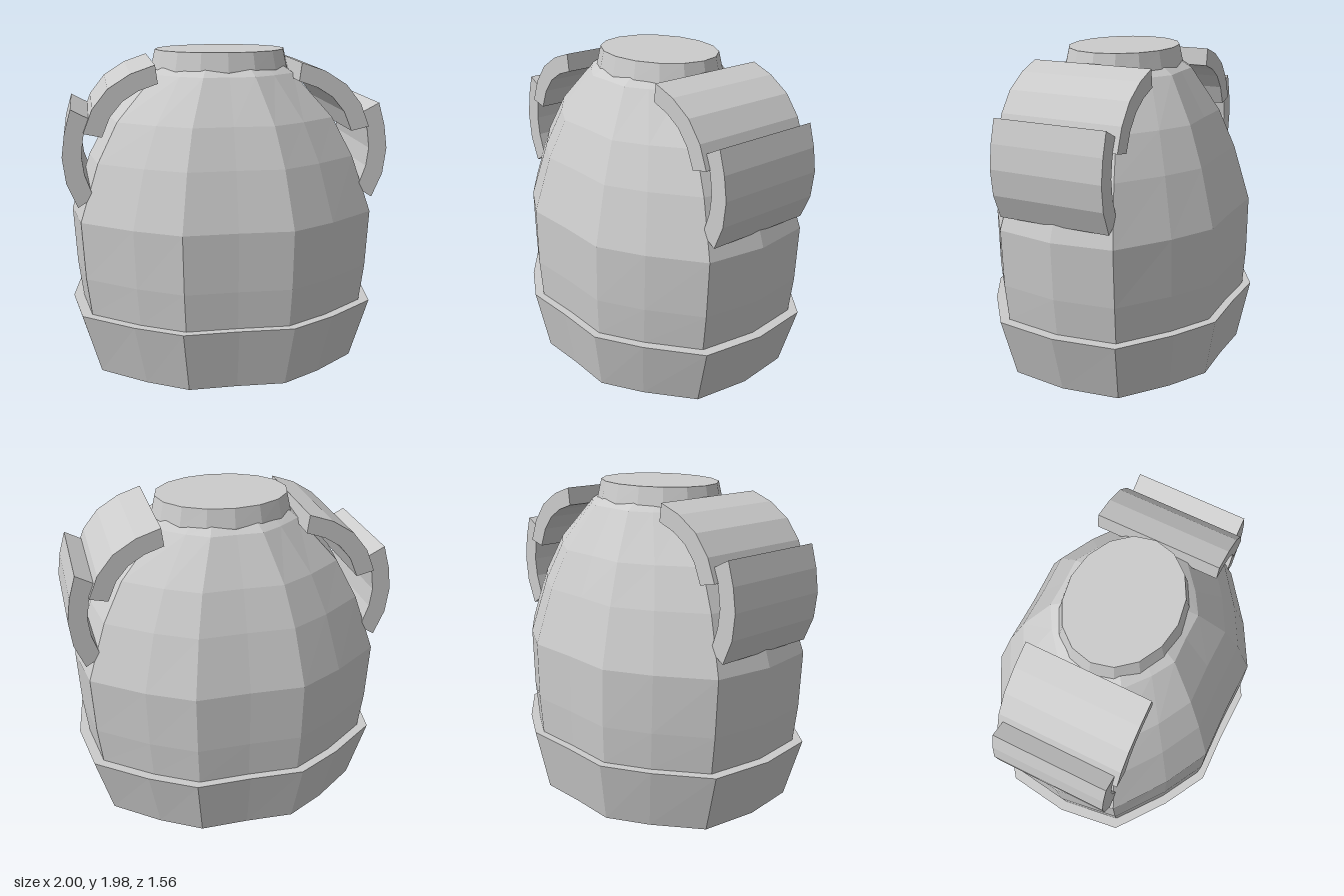
import * as THREE from 'three';

const material = new THREE.MeshStandardMaterial({ color: 0xcccccc, flatShading: true });

// Quarter outline [x, z] of the jar, mirrored into a closed 16-sided loop
const quarter = [[1, 0], [0.945, 0.5], [0.63, 0.8], [0.345, 1], [0, 0.99]];
const back = quarter.slice(0, 4).reverse().map(([x, z]) => [-x, z]);
const half = [...quarter, ...back];
const jarOutline = [...half, ...half.slice(1, -1).reverse().map(([x, z]) => [x, -z])];

const roundOutline = Array.from({ length: 16 }, (_, i) => {
  const a = (i / 16) * Math.PI * 2;
  return [Math.cos(a), Math.sin(a)];
});

// Closed loft through rings [y, half width, half depth]
function loft(name, outline, rings) {
  const n = outline.length;
  const positions = [];
  const index = [];
  for (const [y, w, d] of rings) {
    for (const [x, z] of outline) positions.push(x * w, y, z * d);
  }
  const bottom = rings.length * n;
  const top = bottom + 1;
  positions.push(0, rings[0][0], 0, 0, rings[rings.length - 1][0], 0);
  for (let i = 0; i < n; i++) {
    const j = (i + 1) % n;
    for (let r = 0; r < rings.length - 1; r++) {
      const a = r * n + i, b = r * n + j;
      index.push(a, a + n, b, b, a + n, b + n);
    }
    const last = (rings.length - 1) * n;
    index.push(bottom, i, j, top, last + j, last + i);
  }
  const geometry = new THREE.BufferGeometry();
  geometry.setAttribute('position', new THREE.Float32BufferAttribute(positions, 3));
  geometry.setIndex(index);
  geometry.computeVertexNormals();
  const mesh = new THREE.Mesh(geometry, material);
  mesh.name = name;
  return mesh;
}

// Curved plate: side profile extruded across z, on the +x or -x side
function plate(name, side, outer, inner, halfDepth) {
  const points = [...outer, ...inner.slice().reverse()];
  const shape = new THREE.Shape(points.map(([x, y]) => new THREE.Vector2(x * side, y)));
  const geometry = new THREE.ExtrudeGeometry(shape, { depth: halfDepth * 2, bevelEnabled: false });
  geometry.translate(0, 0, -halfDepth);
  const mesh = new THREE.Mesh(geometry, material);
  mesh.name = name;
  return mesh;
}

export function createModel() {
  const model = new THREE.Group();
  model.name = 'jar';

  // Flared foot band
  model.add(loft('base', jarOutline, [[0, 0.855, 0.71], [0.385, 0.97, 0.78]]));

  // Domed body
  model.add(loft('body', jarOutline, [
    [0.3, 0.89, 0.72], [0.385, 0.905, 0.73], [0.62, 0.935, 0.743], [0.98, 0.955, 0.743],
    [1.33, 0.835, 0.645], [1.57, 0.705, 0.55], [1.84, 0.455, 0.39], [1.88, 0.4, 0.33],
  ]));

  // Neck with closed top
  model.add(loft('neck', roundOutline, [[1.8, 0.44, 0.36], [1.87, 0.435, 0.355], [1.98, 0.41, 0.33]]));

  // Overlapping curved plates on each shoulder
  for (const side of [1, -1]) {
    const shoulder = new THREE.Group();
    shoulder.name = side > 0 ? 'leftShoulder' : 'rightShoulder';
    shoulder.add(plate('upperPlate', side,
      [[0.44, 1.92], [0.585, 1.87], [0.72, 1.785], [0.815, 1.665], [0.87, 1.525]],
      [[0.425, 1.81], [0.54, 1.77], [0.635, 1.71], [0.71, 1.62], [0.76, 1.5]], 0.385));
    shoulder.add(plate('lowerPlate', side,
      [[0.94, 1.665], [0.98, 1.525], [1, 1.38], [0.98, 1.22], [0.915, 1.07]],
      [[0.835, 1.61], [0.87, 1.5], [0.885, 1.385], [0.87, 1.27], [0.82, 1.13]], 0.355));
    model.add(shoulder);
  }
  return model;
}
